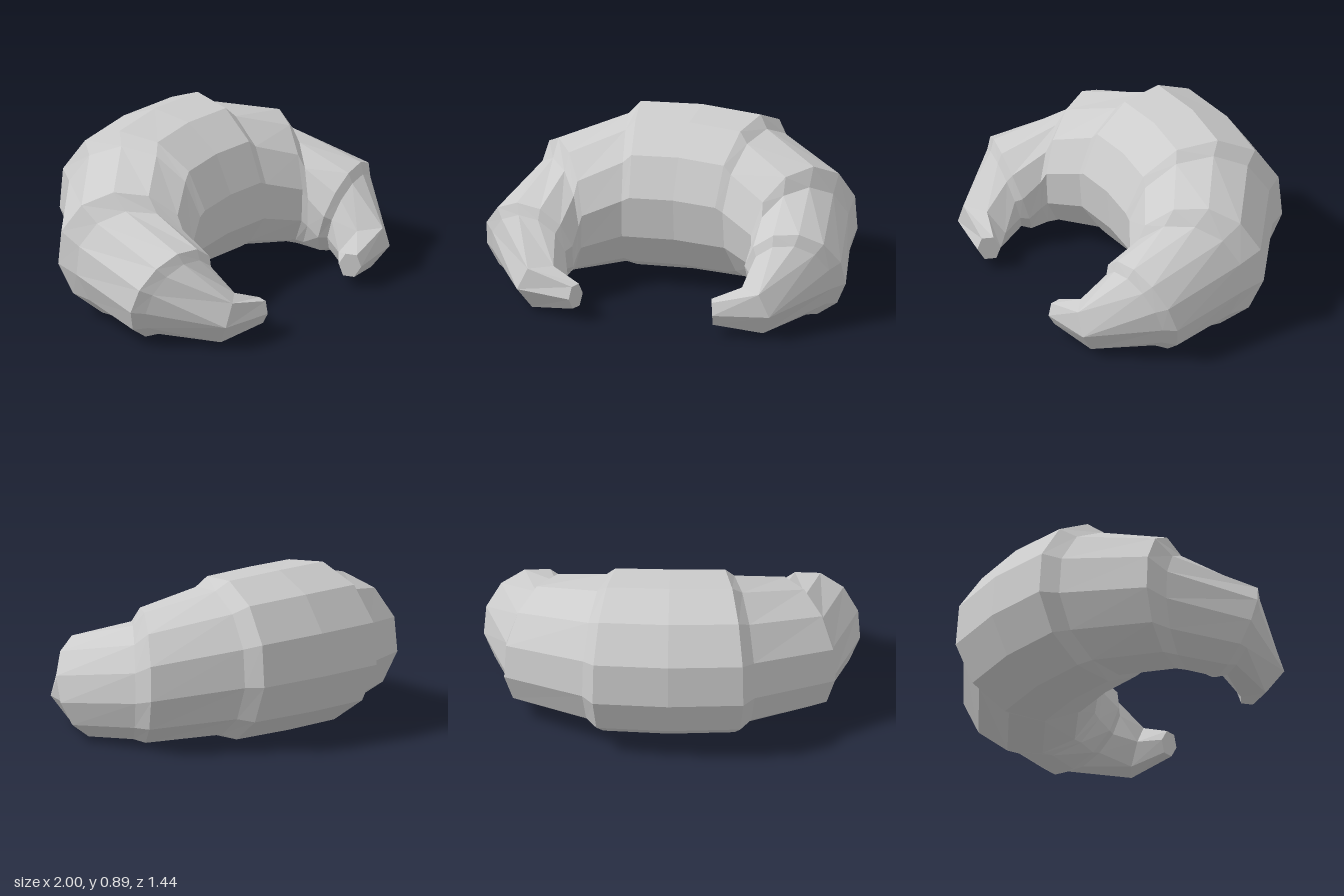
import * as THREE from 'three';

const SIDES = 12;

// One cross-section: centre c, half-axis u towards the inside of the curve, half-axis v upwards.
// Hex sections merge neighbouring points, so the tips have six sides.
function section({ c, u, v, hex }, mirror = 1) {
  const points = [];
  for (let k = 0; k < SIDES; k++) {
    let deg = 10 + 30 * k;
    if (hex) deg = Math.round(deg / 60) * 60;
    const a = THREE.MathUtils.degToRad(deg), cos = Math.cos(a), sin = Math.sin(a);
    points.push(new THREE.Vector3(
      mirror * (c[0] + u[0] * cos),
      c[1] + v[0] * sin,
      c[2] + u[1] * cos + v[1] * sin
    ));
  }
  return points;
}

function addTriangle(out, a, b, c) {
  const area = b.clone().sub(a).cross(c.clone().sub(a)).length();
  if (area > 1e-7) for (const p of [a, b, c]) out.push(p.x, p.y, p.z);
}

// Skin between successive sections, with optional end caps
function loft(rings, capStart, capEnd) {
  const out = [];
  for (let r = 0; r + 1 < rings.length; r++) {
    const a = rings[r], b = rings[r + 1];
    for (let k = 0; k < SIDES; k++) {
      const n = (k + 1) % SIDES;
      addTriangle(out, a[k], b[k], b[n]);
      addTriangle(out, a[k], b[n], a[n]);
    }
  }
  const cap = (ring, flip) => {
    for (let k = 1; k + 1 < SIDES; k++) {
      if (flip) addTriangle(out, ring[0], ring[k + 1], ring[k]);
      else addTriangle(out, ring[0], ring[k], ring[k + 1]);
    }
  };
  if (capStart) cap(rings[0], false);
  if (capEnd) cap(rings[rings.length - 1], true);
  const geometry = new THREE.BufferGeometry();
  geometry.setAttribute('position', new THREE.Float32BufferAttribute(out, 3));
  geometry.computeVertexNormals();
  return geometry;
}

export function createModel() {
  const group = new THREE.Group();
  group.name = 'croissant';
  const pastry = new THREE.MeshStandardMaterial({ color: 0xcccccc, flatShading: true });
  pastry.name = 'pastry grey';

  // Sections from the middle to the left tip; u is (x, z), v is (y, z)
  const middle = { c: [0, 0.457, -0.285], u: [0, 0.445], v: [0.446, 0] };
  const foldEdge = { c: [0.32, 0.45, -0.26], u: [-0.082, 0.435], v: [0.442, 0] };
  const foldInner = { c: [0.37, 0.435, -0.215], u: [-0.09, 0.39], v: [0.4, 0] };
  const shoulderEdge = { c: [0.675, 0.37, -0.027], u: [-0.207, 0.298], v: [0.362, 0] };
  const shoulderInner = { c: [0.68, 0.33, 0.05], u: [-0.203, 0.25], v: [0.315, 0] };
  const elbowEdge = { c: [0.74, 0.265, 0.335], u: [-0.264, 0.055], v: [0.266, 0.09] };
  const elbowInner = { c: [0.73, 0.25, 0.38], u: [-0.222, 0.042], v: [0.222, 0.07] };
  const hornBend = { c: [0.585, 0.14, 0.595], u: [-0.118, -0.08], v: [0.142, 0.045], hex: true };
  const hornTip = { c: [0.38, 0.132, 0.66], u: [-0.02, -0.06], v: [0.075, 0.01], hex: true };

  const add = (name, geometry) => {
    const mesh = new THREE.Mesh(geometry, pastry);
    mesh.name = name;
    group.add(mesh);
  };

  add('middleRoll', loft([section(foldEdge, -1), section(middle), section(foldEdge)]));

  const parts = {
    MiddleFold: [foldEdge, foldInner],
    Shoulder: [foldInner, shoulderEdge],
    ShoulderFold: [shoulderEdge, shoulderInner],
    Arm: [shoulderInner, elbowEdge],
    ArmFold: [elbowEdge, elbowInner],
    Horn: [elbowInner, hornBend, hornTip]
  };
  for (const [name, list] of Object.entries(parts)) {
    const isTip = name === 'Horn';
    add('left' + name, loft(list.map(s => section(s)), false, isTip));
    add('right' + name, loft(list.map(s => section(s, -1)).reverse(), isTip, false));
  }
  return group;
}
